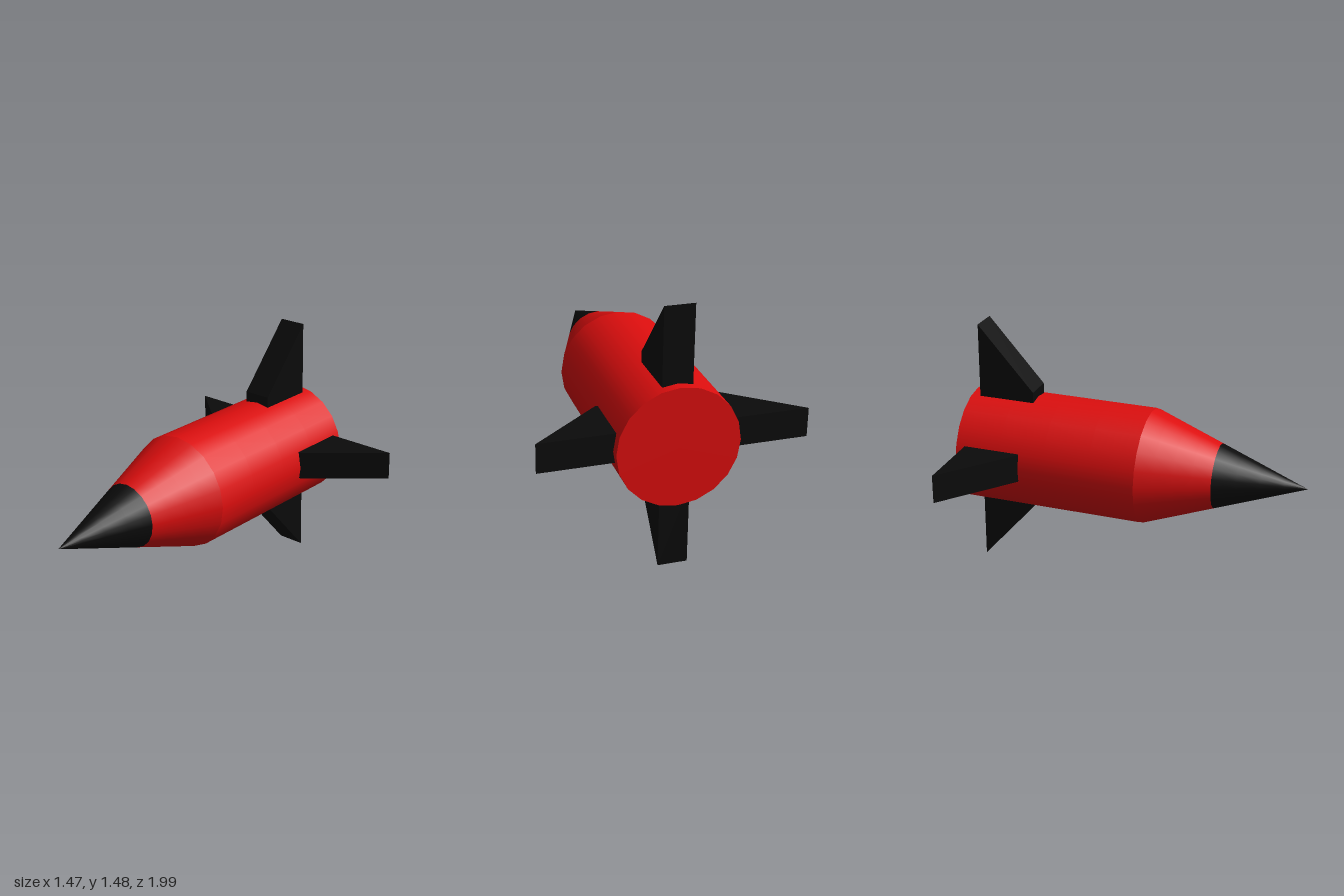
import * as THREE from 'three';

const SIDES = 20;
const RADIUS = 0.335;
const BACK = -0.99, SHOULDER = 0.08, BAND = 0.485, TIP = 0.997;

export function createModel() {
  const red = new THREE.MeshStandardMaterial({ color: 0xdd0e0e });
  red.name = 'red paint';
  const black = new THREE.MeshStandardMaterial({ color: 0x0b0b0b });
  black.name = 'black paint';

  const rocket = new THREE.Group();
  rocket.name = 'rocket';

  const add = (name, geometry, material) => {
    const mesh = new THREE.Mesh(geometry, material);
    mesh.name = name;
    rocket.add(mesh);
    return mesh;
  };

  // Round section lying along z, from z0 (radius r0) to z1 (radius r1)
  const section = (z0, r0, z1, r1, open) =>
    new THREE.CylinderGeometry(r1, r0, z1 - z0, SIDES, 4, open)
      .rotateX(Math.PI / 2)
      .translate(0, 0, (z0 + z1) / 2);

  // Hull and two-colour nose cone
  const bandRadius = RADIUS * (TIP - BAND) / (TIP - SHOULDER);
  add('body', section(BACK, RADIUS, SHOULDER, RADIUS, false), red);
  add('noseBase', section(SHOULDER, RADIUS, BAND, bandRadius, true), red);
  add('noseTip', section(BAND, bandRadius, TIP, 0, true), black);

  // Thick swept fin: an upright profile of height over z, extruded across x
  const finGeometry = (root, tip) => {
    const thickness = 0.165, front = 0.607, back = 0.937;
    const shape = new THREE.Shape([
      new THREE.Vector2(front, 0.26),
      new THREE.Vector2(back, 0.26),
      new THREE.Vector2(back, tip),
      new THREE.Vector2(front, root),
    ]);
    return new THREE.ExtrudeGeometry(shape, { depth: thickness, bevelEnabled: false })
      .translate(0, 0, -thickness / 2)
      .rotateY(Math.PI / 2);
  };

  // Each fin: name, roll around the hull, root and tip radius, vertical shift
  const fins = [
    ['topFin', 0, 0.385, 0.757, 0],
    ['leftFin', -Math.PI / 2, 0.335, 0.735, 0.018],
    ['bottomFin', Math.PI, 0.335, 0.719, 0],
    ['rightFin', Math.PI / 2, 0.335, 0.735, 0.018],
  ];
  for (const [name, roll, root, tip, lift] of fins) {
    const fin = add(name, finGeometry(root, tip), black);
    fin.rotation.z = roll;
    fin.position.y = lift;
  }

  // The rocket rests slightly nose-down and rolled
  rocket.position.set(0.005, 0.7025, 0);
  rocket.rotation.set(0.0225, 0.0105, 0.018);

  const model = new THREE.Group();
  model.name = 'model';
  model.add(rocket);
  return model;
}
